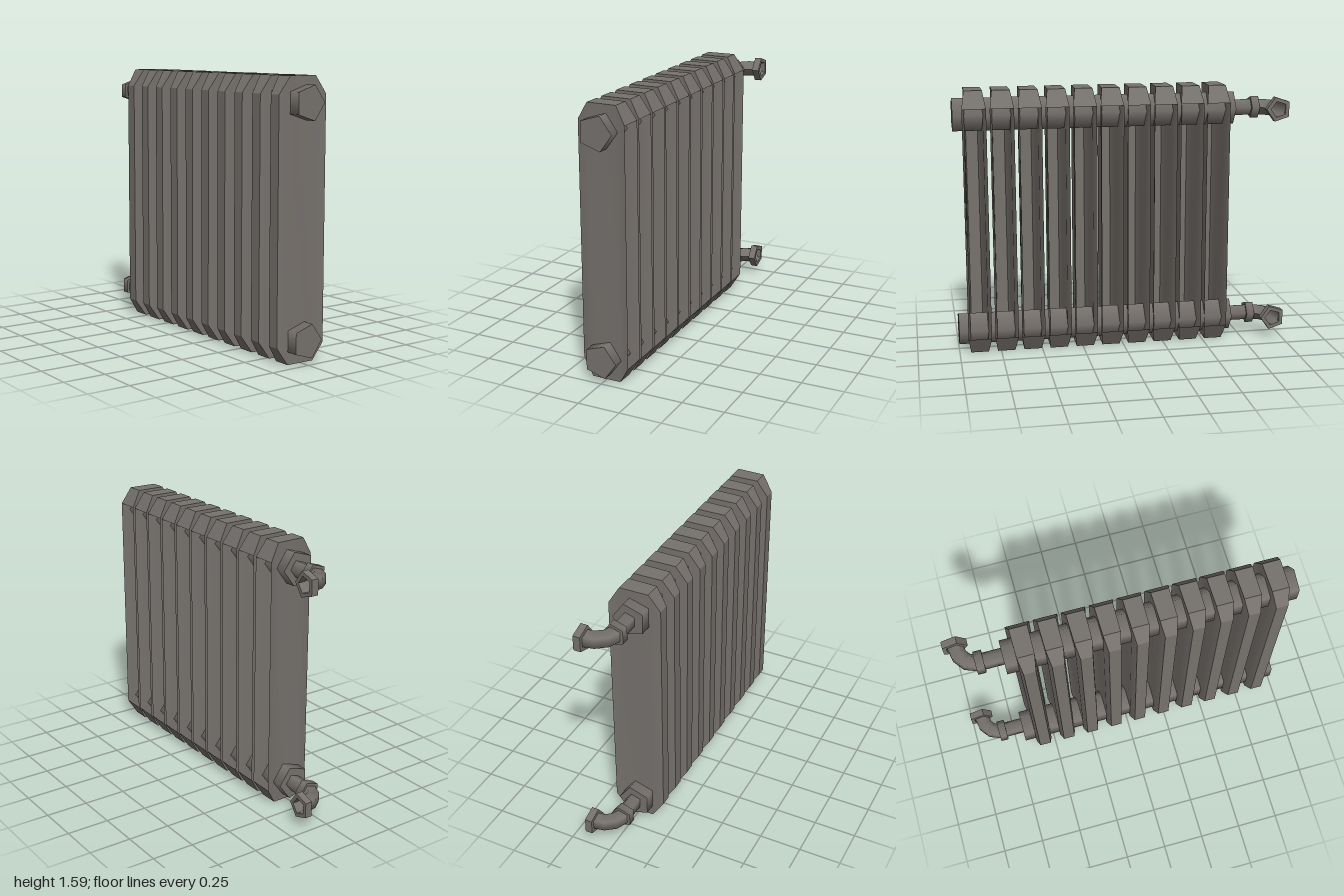
import * as THREE from 'three';

// Double-sided because the columns are hollow shells, open at the back
const iron = new THREE.MeshStandardMaterial({ color: 0x76716d, side: THREE.DoubleSide });
iron.name = 'cast iron grey';

// Column outline seen from the side: [z, y, half width]; narrow nose, straight waist, flared back lip
const OUTLINE = [
  [-0.145, 0.1, 0.07], [-0.145, 1.485, 0.07], [-0.085, 1.585, 0.053], [0.09, 1.585, 0.05],
  [0.155, 1.485, 0.035], [0.155, 0.1, 0.035], [0.09, 0, 0.05], [-0.085, 0, 0.053],
];

function columnGeometry() {
  const pos = [], index = [];
  const addCorner = (i, side) => pos.push(side * OUTLINE[i][2], OUTLINE[i][1], OUTLINE[i][0]);
  const quad = (a, b, c, d) => index.push(a, b, c, a, c, d);
  // flanks: back, middle and front panels sharing corners, so they shade smoothly
  for (const side of [1, -1]) {
    const base = pos.length / 3;
    for (let i = 0; i < 8; i++) addCorner(i, side);
    for (const panel of [[0, 1, 2, 7], [7, 2, 3, 6], [6, 3, 4, 5]]) {
      const p = panel.map((i) => base + i);
      if (side < 0) p.reverse();
      quad(...p);
    }
  }
  // rim with sharp edges, leaving the back (edge 0) open
  for (let i = 1; i < 8; i++) {
    const j = (i + 1) % 8, base = pos.length / 3;
    addCorner(i, 1);
    addCorner(i, -1);
    addCorner(j, -1);
    addCorner(j, 1);
    quad(base, base + 1, base + 2, base + 3);
  }
  const g = new THREE.BufferGeometry();
  g.setAttribute('position', new THREE.Float32BufferAttribute(pos, 3));
  g.setIndex(index);
  g.computeVertexNormals();
  return g;
}

// Five-sided bar along x from x0 to x1, one corner towards the back
function bar(name, x0, x1, r, z) {
  const g = new THREE.CylinderGeometry(r, r, x1 - x0, 5, 1, false, Math.PI);
  g.rotateZ(Math.PI / 2);
  const m = new THREE.Mesh(g, iron);
  m.name = name;
  m.position.set((x0 + x1) / 2, 0, z);
  return m;
}

// Five-sided open pipe bent from the collar to the wall, one corner on the inside of the bend
function elbowGeometry() {
  const bend = new THREE.QuadraticBezierCurve3(
    new THREE.Vector3(-0.835, 0, 0), new THREE.Vector3(-0.934, 0, -0.015), new THREE.Vector3(-0.937, 0, -0.135));
  const g = new THREE.CylinderGeometry(0.05, 0.05, 1, 5, 3, true, Math.PI);
  const p = g.attributes.position;
  for (let i = 0; i < p.count; i++) {
    const t = p.getY(i) + 0.5;
    const c = bend.getPoint(t), d = bend.getTangent(t);
    const out = p.getZ(i);
    p.setXYZ(i, c.x + d.z * out, p.getX(i), c.z - d.x * out);
  }
  g.computeVertexNormals();
  return g;
}

// Pentagon points with one corner towards +x
function pentagon(r) {
  return Array.from({ length: 5 }, (_, i) => {
    const a = (i / 5) * Math.PI * 2;
    return new THREE.Vector2(r * Math.cos(a), r * Math.sin(a));
  });
}

// Header pipe with its connection to the wall
function pipeRun(name, y) {
  const run = new THREE.Group();
  run.name = name;
  run.position.y = y;
  run.add(bar('headerPipe', -0.69, 1, 0.102, 0.007));
  run.add(bar('connectorPipe', -0.83, -0.68, 0.05, 0));
  run.add(bar('collar', -0.845, -0.797, 0.069, 0));

  const elbow = new THREE.Mesh(elbowGeometry(), iron);
  elbow.name = 'elbow';
  run.add(elbow);

  const ring = new THREE.Shape(pentagon(0.077));
  ring.holes.push(new THREE.Path(pentagon(0.05)));
  const flange = new THREE.Mesh(new THREE.ExtrudeGeometry(ring, { depth: 0.043, bevelEnabled: false }), iron);
  flange.name = 'wallFlange';
  flange.position.set(-0.938, 0, -0.155);
  run.add(flange);
  return run;
}

export function createModel() {
  const model = new THREE.Group();
  model.name = 'radiator';

  const geo = columnGeometry();
  for (let i = 0; i < 10; i++) {
    const column = new THREE.Mesh(geo, iron);
    column.name = 'column' + (i + 1);
    column.position.x = -0.57 + i * 0.161;
    model.add(column);
  }

  model.add(pipeRun('upperPipe', 1.44), pipeRun('lowerPipe', 0.133));
  return model;
}
